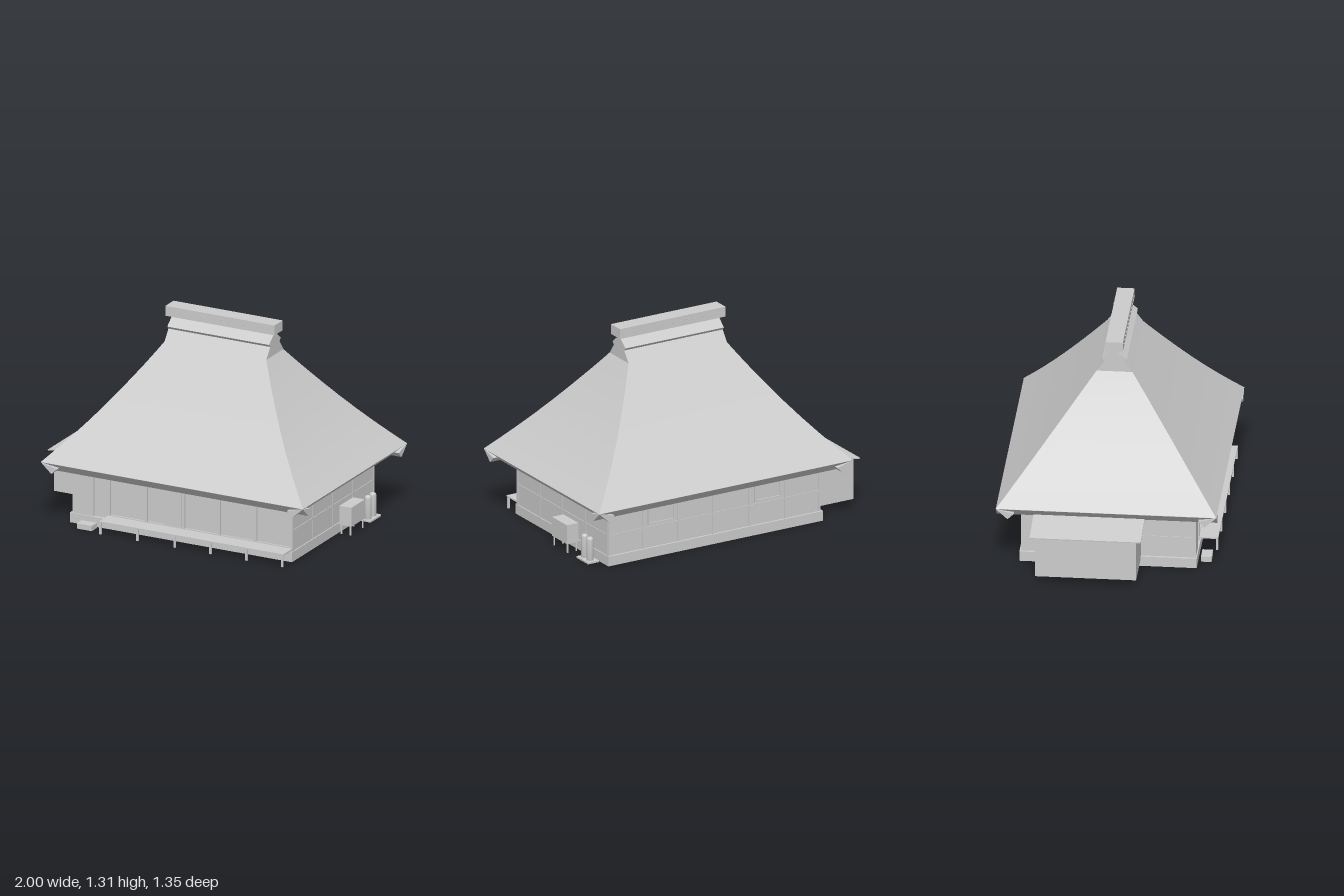
import * as THREE from 'three';

export function createModel() {
  const model = new THREE.Group();
  const grey = new THREE.MeshStandardMaterial({ color: 0xcccccc, side: THREE.DoubleSide });
  grey.name = 'light grey';

  const add = (name, geometry, x = 0, y = 0, z = 0) => {
    const mesh = new THREE.Mesh(geometry, grey);
    mesh.name = name;
    mesh.position.set(x, y, z);
    model.add(mesh);
    return mesh;
  };
  // Box given by its limits on each axis
  const box = (name, x0, x1, y0, y1, z0, z1) =>
    add(name, new THREE.BoxGeometry(x1 - x0, y1 - y0, z1 - z0),
      (x0 + x1) / 2, (y0 + y1) / 2, (z0 + z1) / 2);

  // Roof shell: rectangular rings from [y, inset at the ends, half depth]
  const slope = [[0.41, 0, 0.675], [0.49, 0.077, 0.605], [0.57, 0.151, 0.537], [0.66, 0.229, 0.462],
    [0.76, 0.31, 0.381], [0.86, 0.385, 0.301], [0.97, 0.464, 0.215], [1.04, 0.511, 0.16], [1.105, 0.553, 0.11]];
  const corners = ([y, d, z]) => {
    const l = -0.81 + d, r = 1 - d;
    return [[l, y, z], [r, y, z], [r, y, -z], [l, y, -z]];
  };
  for (let side = 0; side < 4; side++) {
    const pos = [], index = [];
    slope.forEach((ring, i) => {
      const c = corners(ring);
      pos.push(...c[side], ...c[(side + 1) % 4]);
      if (i) {
        const a = 2 * i - 2;
        index.push(a, a + 1, a + 3, a, a + 3, a + 2);
      }
    });
    const g = new THREE.BufferGeometry();
    g.setAttribute('position', new THREE.Float32BufferAttribute(pos, 3));
    g.setIndex(index);
    g.computeVertexNormals();
    add('thatchSlope', g);
  }

  // Gabled crest with a projecting lip, under the ridge
  const crest = new THREE.Shape([[-0.11, 1.105], [0.11, 1.105], [0.06, 1.172], [0.076, 1.19],
    [0, 1.252], [-0.076, 1.19], [-0.06, 1.172]].map((p) => new THREE.Vector2(...p)));
  const crestMesh = add('roofCrest',
    new THREE.ExtrudeGeometry(crest, { depth: 0.704, bevelEnabled: false }), -0.257, 0, 0);
  crestMesh.rotation.y = Math.PI / 2;

  // Ridge beam with a row of pegs on both faces
  box('ridgeBeam', -0.282, 0.472, 1.249, 1.313, -0.053, 0.053);
  for (let i = 0; i < 13; i++) {
    const peg = add('ridgePeg', new THREE.CylinderGeometry(0.005, 0.005, 0.118, 8),
      -0.232 + i * 0.0545, 1.284, 0);
    peg.rotation.x = Math.PI / 2;
  }

  // Triangular eave beams that cross at the corners
  const eave = new THREE.Shape([[0, 0.408], [-0.11, 0.38], [-0.072, 0.343]]
    .map((p) => new THREE.Vector2(...p)));
  const eaveBeam = (length, x, z, turn) => {
    const g = new THREE.ExtrudeGeometry(eave, { depth: length, bevelEnabled: false });
    g.translate(0, 0, -length / 2);
    add('eaveBeam', g, x, 0, z).rotation.y = turn;
  };
  eaveBeam(1.35, 1, 0, 0);
  eaveBeam(1.35, -0.81, 0, Math.PI);
  eaveBeam(1.81, 0.095, 0.675, -Math.PI / 2);
  eaveBeam(1.81, 0.095, -0.675, Math.PI / 2);
  box('soffit', -0.71, 0.9, 0.383, 0.39, -0.575, 0.575);

  // Walls over a hollow plinth
  box('walls', -0.662, 0.848, 0.035, 0.385, -0.53, 0.524);
  for (const s of [1, -1]) {
    box('plinthSide', -0.68, 0.855, 0, 0.063, s * 0.532 - 0.011, s * 0.532 + 0.011);
    const x = s > 0 ? 0.844 : -0.669;
    box('plinthEnd', x - 0.011, x + 0.011, 0, 0.063, -0.521, 0.521);
  }

  // Front wall: solid end bay, recessed bays between posts and rails
  box('solidBay', -0.665, -0.52, 0.063, 0.385, 0.52, 0.536);
  const posts = [-0.415, -0.158, 0.099, 0.345, 0.596, 0.842];
  for (const x of posts) box('frontPost', x - 0.009, x + 0.009, 0.063, 0.36, 0.52, 0.536);
  box('frontLintel', -0.52, 0.848, 0.322, 0.36, 0.52, 0.534);
  box('frontSill', -0.42, 0.848, 0.075, 0.09, 0.52, 0.534);
  box('slidingDoor', -0.035, 0.083, 0.09, 0.322, 0.52, 0.531);

  // Back wall: posts and rail
  for (const x of [-0.658, ...posts]) box('backPost', x - 0.007, x + 0.007, 0.063, 0.36, -0.534, -0.528);
  for (const y of [0.19, 0.328]) box('backRail', -0.66, 0.845, y, y + 0.01, -0.534, -0.528);

  // Timber framing on the two ends
  for (const s of [1, -1]) {
    const x0 = s > 0 ? 0.845 : -0.666, x1 = x0 + 0.007;
    for (let i = 0; i < 5; i++) {
      const z = -0.522 + i * 0.262;
      box('endPost', x0, x1, 0.063, 0.36, z - 0.006, z + 0.006);
    }
    for (const y of [0.19, 0.328]) box('endRail', x0, x1, y, y + 0.01, -0.527, 0.527);
  }

  // Framed windows at the back
  for (const x of [0.47, -0.29]) {
    box('windowPane', x - 0.09, x + 0.09, 0.22, 0.32, -0.535, -0.528);
    for (const s of [-1, 1]) {
      box('windowFrame', x + s * 0.09 - 0.008, x + s * 0.09 + 0.008, 0.212, 0.33, -0.542, -0.528);
      box('windowFrame', x - 0.096, x + 0.096, 0.271 + s * 0.053 - 0.006, 0.271 + s * 0.053 + 0.006, -0.542, -0.528);
    }
  }

  // Veranda on posts, with a step stone
  box('verandaDeck', -0.42, 0.853, 0.075, 0.084, 0.534, 0.65);
  for (const x of posts) box('verandaLeg', x - 0.007, x + 0.007, 0, 0.076, 0.638, 0.65);
  box('stepStone', -0.588, -0.485, 0, 0.034, 0.56, 0.625);

  // Lean-to annex with a thin sloping roof
  box('annex', -0.973, -0.66, 0.045, 0.319, -0.42, 0.2);
  const annexRoof = add('annexRoof', new THREE.BoxGeometry(0.34, 0.006, 0.68), -0.832, 0.338, -0.11);
  annexRoof.rotation.z = 0.145;

  // Outdoor unit on thin legs
  box('outdoorUnit', 0.87, 0.952, 0.06, 0.183, -0.217, -0.043);
  for (const x of [0.88, 0.942])
    for (const z of [-0.208, -0.052]) box('unitLeg', x - 0.004, x + 0.004, 0, 0.06, z - 0.004, z + 0.004);

  // Two gas cylinders on a slab
  box('cylinderSlab', 0.865, 0.942, 0, 0.011, -0.448, -0.312);
  const bottle = [[0, 0.01], [0.022, 0.01], [0.022, 0.145], [0.018, 0.155], [0.01, 0.16], [0, 0.161]]
    .map((p) => new THREE.Vector2(...p));
  for (const z of [-0.347, -0.409]) add('gasCylinder', new THREE.LatheGeometry(bottle, 20), 0.905, 0, z);

  return model;
}
